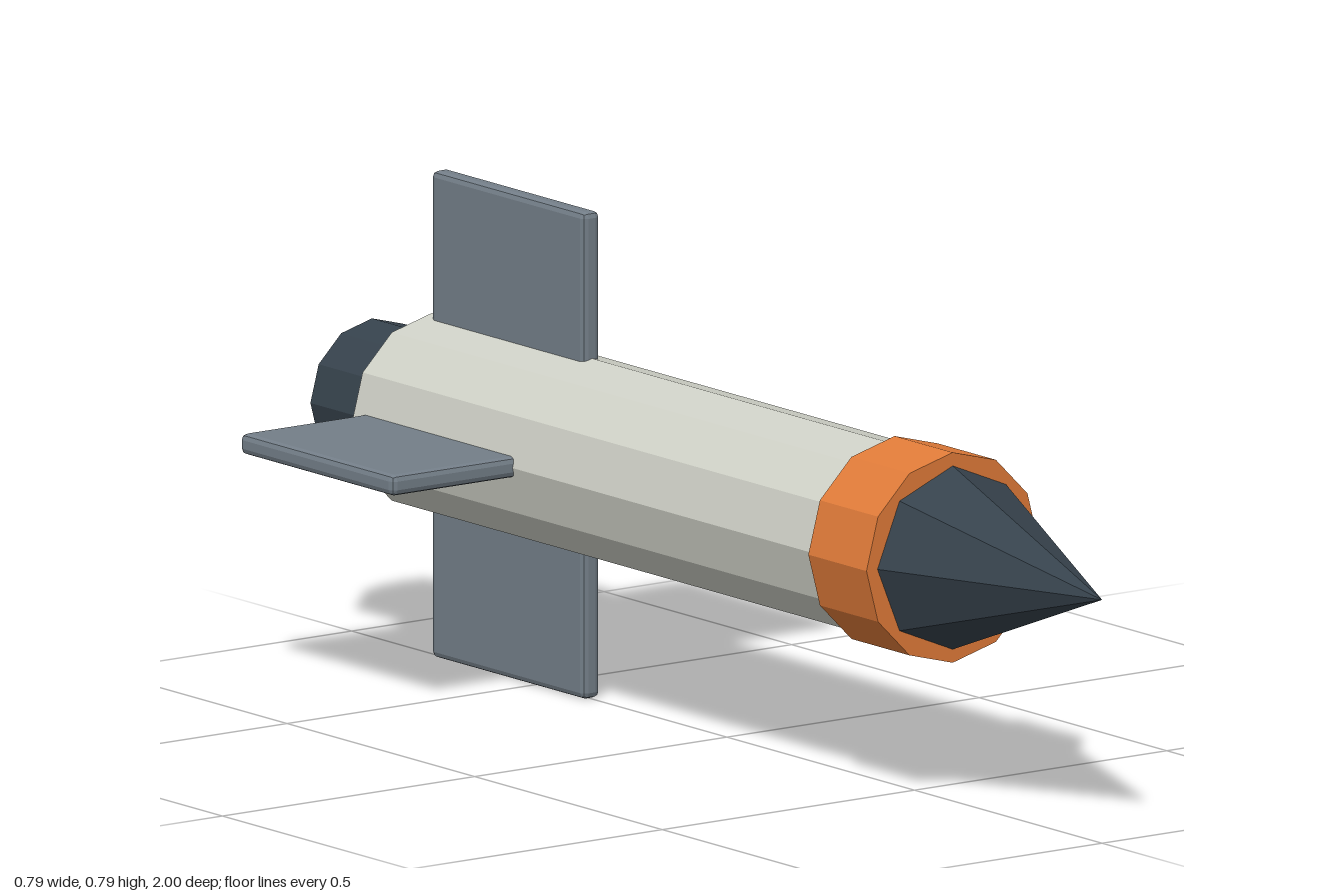
import * as THREE from 'three';
import { RoundedBoxGeometry } from 'three/addons/geometries/RoundedBoxGeometry.js';

const AXIS_Y = 0.397;

function paint(name, color) {
  const material = new THREE.MeshStandardMaterial({ color, flatShading: true });
  material.name = name;
  return material;
}

export function createModel() {
  const model = new THREE.Group();
  model.name = 'rocket';

  const paleGrey = paint('pale grey', 0xcfd1c7);
  const orange = paint('orange', 0xe07b39);
  const charcoal = paint('charcoal', 0x36424c);
  const slate = paint('slate grey', 0x737e88);
  const cyan = paint('cyan', 0x3cc3d6);

  // Faceted section lying along z, from the back to the front
  function section(name, material, back, front, rBack, rFront, sides) {
    const geometry = new THREE.CylinderGeometry(rFront, rBack, front - back, sides);
    geometry.rotateX(Math.PI / 2);
    const mesh = new THREE.Mesh(geometry, material);
    mesh.name = name;
    mesh.position.set(0, AXIS_Y, (back + front) / 2);
    model.add(mesh);
  }

  section('noseCone', charcoal, 0.6, 1, 0.15, 0, 8);
  section('collar', orange, 0.447, 0.602, 0.171, 0.171, 12);
  section('body', paleGrey, -0.787, 0.52, 0.158, 0.158, 12);
  section('nozzle', charcoal, -0.946, -0.812, 0.122, 0.122, 12);
  section('exhaust', cyan, -1, -0.94, 0.072, 0.072, 12);

  // Four bevelled tail fins around the body
  const finGeometry = new RoundedBoxGeometry(0.29, 0.034, 0.408, 1, 0.01);
  finGeometry.translate(0.251, 0, -0.563);
  ['leftFin', 'topFin', 'rightFin', 'bottomFin'].forEach((name, i) => {
    const fin = new THREE.Mesh(finGeometry, slate);
    fin.name = name;
    fin.position.y = AXIS_Y;
    fin.rotation.z = i * Math.PI / 2;
    model.add(fin);
  });

  return model;
}
